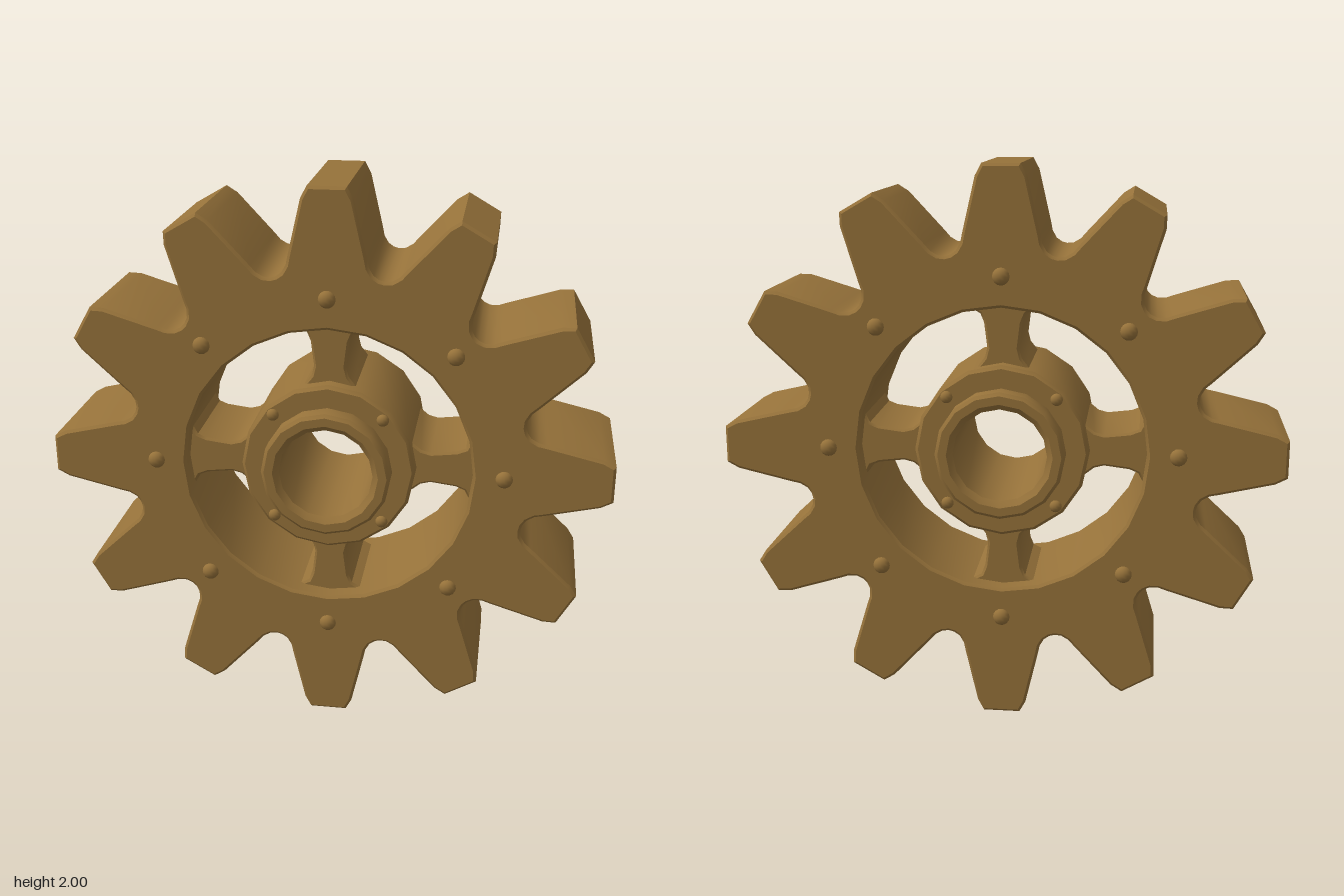
import * as THREE from 'three';
import { toCreasedNormals } from 'three/addons/utils/BufferGeometryUtils.js';

const CREASE = 0.68;

// Extrude a shape symmetrically about z = 0 with a small chamfer kept inside its outline
function plate(shape, halfDepth, bevel) {
  const geo = new THREE.ExtrudeGeometry(shape, {
    depth: 2 * (halfDepth - bevel), bevelEnabled: true, bevelSegments: 1,
    bevelSize: bevel, bevelThickness: bevel, bevelOffset: -bevel,
  });
  geo.translate(0, 0, -(halfDepth - bevel));
  return toCreasedNormals(geo, CREASE);
}

export function createModel() {
  const model = new THREE.Group();
  model.name = 'gear';
  const wheel = new THREE.Group();
  wheel.name = 'wheel';
  wheel.position.y = 1;
  model.add(wheel);

  const bronze = new THREE.MeshStandardMaterial({ color: 0x96723a });
  bronze.name = 'bronze';

  const add = (name, geo) => {
    const mesh = new THREE.Mesh(geo, bronze);
    mesh.name = name;
    wheel.add(mesh);
    return mesh;
  };

  // Toothed rim: half a tooth in [degrees, radius], mirrored and repeated 12 times
  const half = [[3.8, 1], [5.3, 0.96], [10.0, 0.772], [10.8, 0.745], [12.4, 0.722], [14.2, 0.713]];
  const tooth = [...half.map(([a, r]) => [-a, r]).reverse(), ...half];
  const outline = [];
  for (let i = 0; i < 12; i++) {
    for (const [a, r] of tooth) {
      const t = THREE.MathUtils.degToRad(i * 30 + a);
      outline.push(new THREE.Vector2(r * Math.cos(t), r * Math.sin(t)));
    }
  }
  const rim = new THREE.Shape(outline);
  const hole = [];
  for (let i = 0; i < 24; i++) {
    const t = -i * Math.PI / 12;
    hole.push(new THREE.Vector2(0.512 * Math.cos(t), 0.512 * Math.sin(t)));
  }
  rim.holes.push(new THREE.Path(hole));
  add('toothedRim', plate(rim, 0.243, 0.01));

  // Hub with raised collars and a through bore
  const side = [[0.31, 0.222], [0.298, 0.235], [0.229, 0.235], [0.229, 0.293],
    [0.217, 0.305], [0.187, 0.305], [0.166, 0.285]];
  const profile = [
    ...side.map(([r, z]) => new THREE.Vector2(r, -z)).reverse(),
    ...side.map(([r, z]) => new THREE.Vector2(r, z)),
    new THREE.Vector2(0.166, -0.285),
  ];
  const hub = new THREE.LatheGeometry(profile, 16);
  hub.rotateX(Math.PI / 2);
  add('hub', toCreasedNormals(hub, CREASE));

  // Four spokes, flared where they meet the hub and the rim
  const edge = [[0.105, 0.27], [0.085, 0.3], [0.065, 0.325], [0.056, 0.36],
    [0.067, 0.45], [0.08, 0.482], [0.115, 0.5], [0.115, 0.52]];
  const spokeShape = new THREE.Shape([
    ...edge.map(([x, y]) => new THREE.Vector2(x, y)),
    ...edge.map(([x, y]) => new THREE.Vector2(-x, y)).reverse(),
  ]);
  const spokeGeo = plate(spokeShape, 0.18, 0.008);
  for (let i = 0; i < 4; i++) add('spoke', spokeGeo).rotation.z = i * Math.PI / 2;

  // Domed rivets on both faces of the rim and hub
  const rivets = (name, count, start, ring, radius, z) => {
    const geo = new THREE.SphereGeometry(radius, 12, 8);
    for (const s of [-1, 1]) {
      for (let i = 0; i < count; i++) {
        const t = start + i * 2 * Math.PI / count;
        const rivet = add(name, geo);
        rivet.position.set(ring * Math.cos(t), ring * Math.sin(t), s * z);
        rivet.scale.z = 0.8;
      }
    }
  };
  rivets('rimRivet', 8, 0, 0.62, 0.031, 0.241);
  rivets('hubRivet', 4, Math.PI / 4, 0.274, 0.022, 0.235);

  return model;
}
